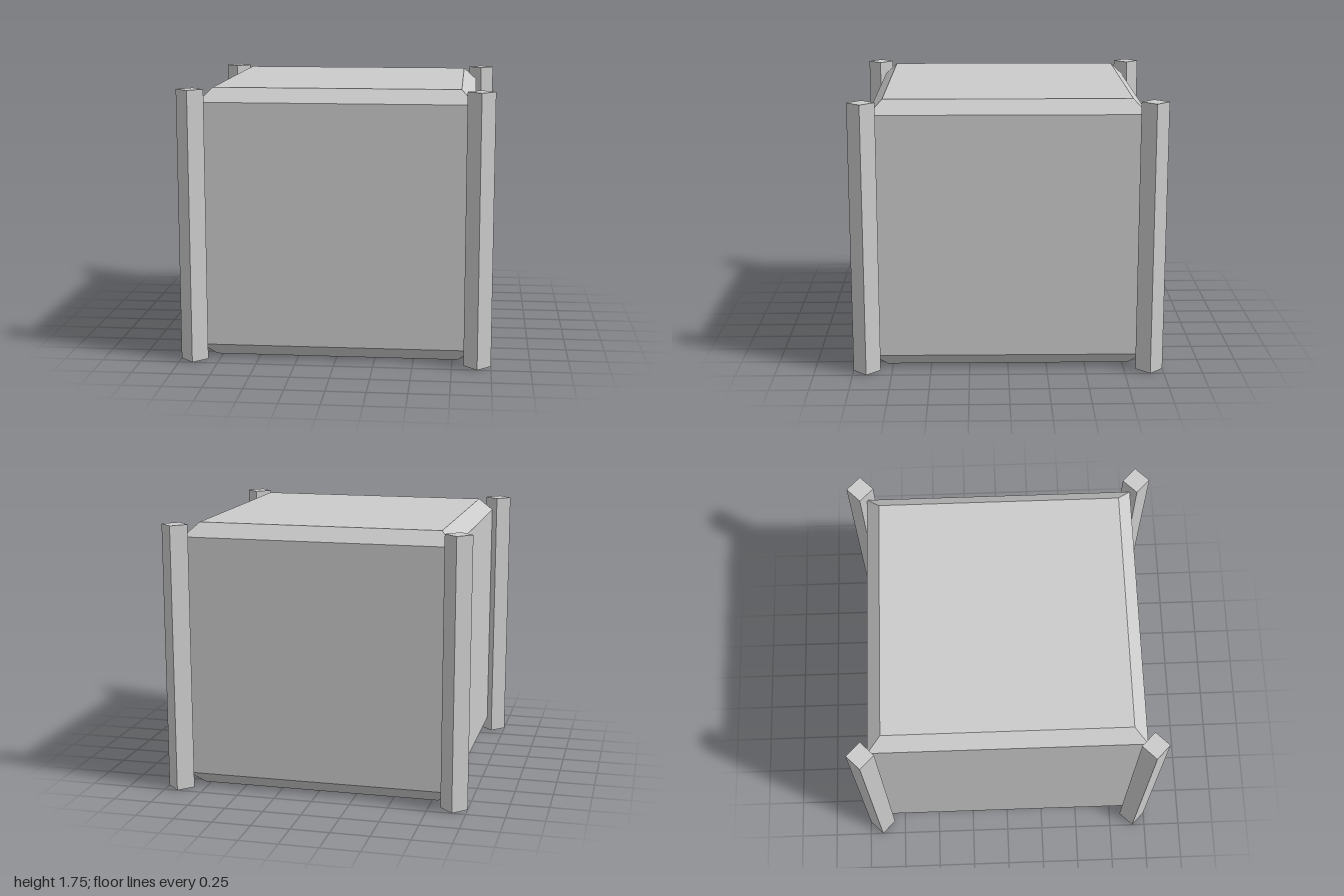
import * as THREE from 'three';

const HEIGHT = 1.753;
const HALF = 0.875;    // half width of the body
const BEVEL = 0.087;   // mitred bevel around top and bottom
const POST_R = 0.0875; // half diagonal of a post
const POST_AT = 1 - POST_R;

export function createModel() {
  const model = new THREE.Group();
  model.name = 'crate';
  const material = new THREE.MeshStandardMaterial({ color: 0xcccccc, flatShading: true });

  // Body: a square box with bevelled top and bottom rims, as a four-sided lathe
  const outer = HALF * Math.SQRT2;
  const inner = (HALF - BEVEL) * Math.SQRT2;
  const profile = [
    [0, 0], [inner, 0], [outer, BEVEL],
    [outer, HEIGHT - BEVEL], [inner, HEIGHT], [0, HEIGHT],
  ].map(([r, y]) => new THREE.Vector2(r, y));
  const bodyGeometry = new THREE.LatheGeometry(profile, 4, Math.PI / 4).toNonIndexed();
  bodyGeometry.computeVertexNormals();
  const body = new THREE.Mesh(bodyGeometry, material);
  body.name = 'body';
  model.add(body);

  // Corner posts: square bars turned 45 degrees
  const side = POST_R * Math.SQRT2;
  const postGeometry = new THREE.BoxGeometry(side, HEIGHT, side).rotateY(Math.PI / 4);
  for (const [x, xName] of [[1, 'Left'], [-1, 'Right']]) {
    for (const [z, zName] of [[1, 'front'], [-1, 'back']]) {
      const post = new THREE.Mesh(postGeometry, material);
      post.name = zName + xName + 'Post';
      post.position.set(x * POST_AT, HEIGHT / 2, z * POST_AT);
      model.add(post);
    }
  }
  return model;
}
